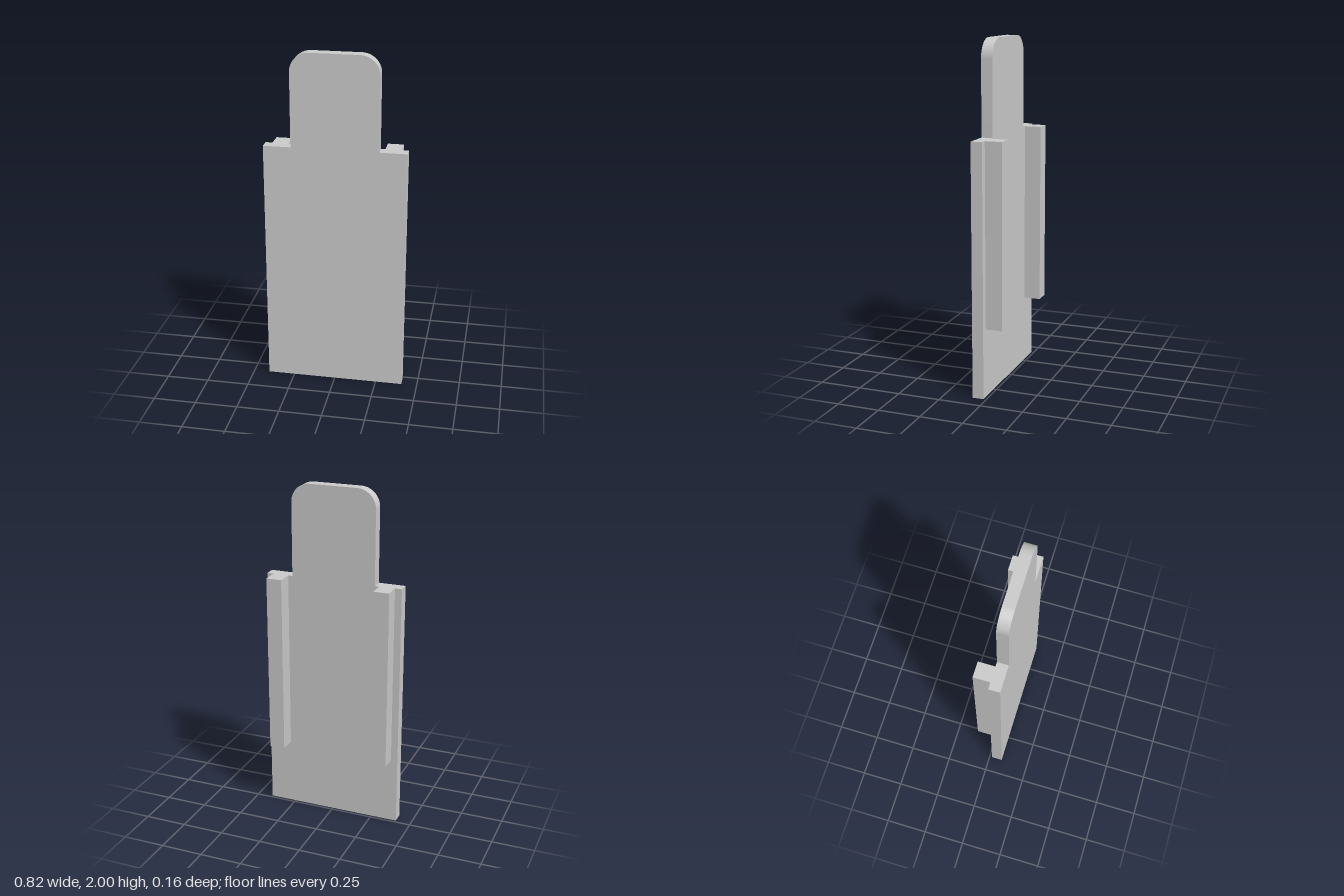
import * as THREE from 'three';
import { toCreasedNormals } from 'three/addons/utils/BufferGeometryUtils.js';

export function createModel() {
  const group = new THREE.Group();
  const material = new THREE.MeshStandardMaterial({ color: 0xcccccc });

  const halfWidth = 0.408, shoulderY = 1.46, tabHalf = 0.25, top = 2, radius = 0.11;
  const backZ = 0.016, frontZ = 0.082;

  // Flat plate with square shoulders and a narrower round-cornered tab
  const outline = new THREE.Shape();
  outline.moveTo(-halfWidth, 0);
  outline.lineTo(halfWidth, 0);
  outline.lineTo(halfWidth, shoulderY);
  outline.lineTo(tabHalf, shoulderY);
  outline.lineTo(tabHalf, top - radius);
  outline.absarc(tabHalf - radius, top - radius, radius, 0, Math.PI / 2, false);
  outline.absarc(radius - tabHalf, top - radius, radius, Math.PI / 2, Math.PI, false);
  outline.lineTo(-tabHalf, shoulderY);
  outline.lineTo(-halfWidth, shoulderY);
  outline.closePath();
  const plateGeometry = new THREE.ExtrudeGeometry(outline, {
    depth: frontZ - backZ, bevelEnabled: false, curveSegments: 16,
  });
  const plate = new THREE.Mesh(toCreasedNormals(plateGeometry, Math.PI / 6), material);
  plate.name = 'plate';
  plate.position.z = backZ;
  group.add(plate);

  // Pair of square rails on the back, flush with the shoulders
  const railBottom = 0.4, railBackZ = -0.082;
  const railGeometry = new THREE.BoxGeometry(0.092, shoulderY - railBottom, backZ - railBackZ);
  for (const [name, side] of [['leftRail', 1], ['rightRail', -1]]) {
    const rail = new THREE.Mesh(railGeometry, material);
    rail.name = name;
    rail.position.set(side * 0.322, (shoulderY + railBottom) / 2, (backZ + railBackZ) / 2);
    group.add(rail);
  }

  return group;
}
